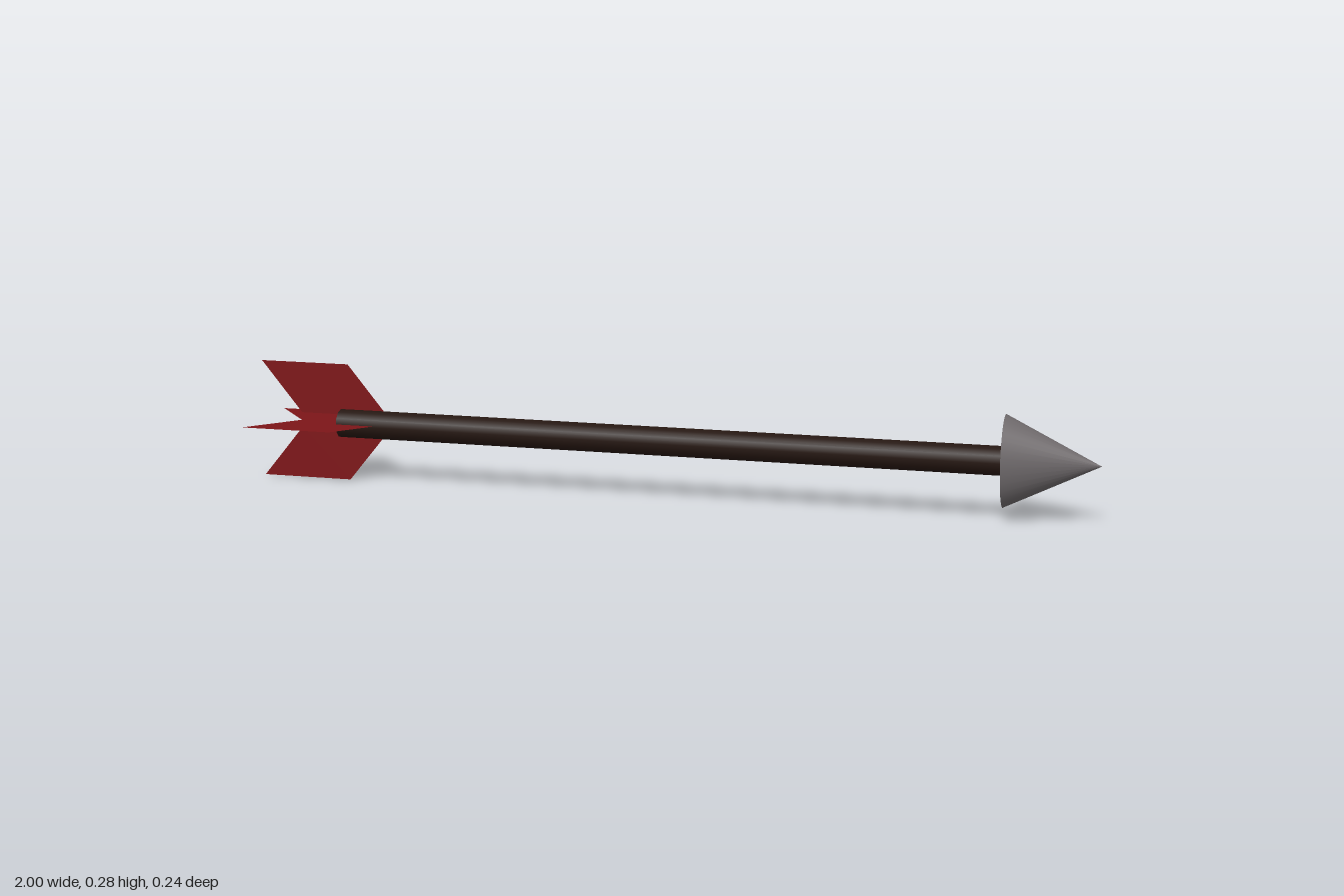
import * as THREE from 'three';

const AXIS_Y = 0.137, AXIS_Z = -0.004;

function part(name, geometry, color, side = THREE.FrontSide) {
  const mesh = new THREE.Mesh(geometry, new THREE.MeshStandardMaterial({ color, side }));
  mesh.name = name;
  return mesh;
}

// Swept-back vane: a thin parallelogram, root edge on y = 0
function vaneGeometry() {
  const shape = new THREE.Shape([
    [-0.9, 0], [-0.68, 0], [-0.78, 0.122], [-1, 0.122],
  ].map(([x, y]) => new THREE.Vector2(x, y)));
  return new THREE.ShapeGeometry(shape);
}

export function createModel() {
  const arrow = new THREE.Group();
  arrow.name = 'arrow';

  // Shaft along x
  const shaftGeo = new THREE.CylinderGeometry(0.034, 0.034, 1.585, 12).rotateZ(-Math.PI / 2);
  const shaft = part('shaft', shaftGeo, 0x24150f);
  shaft.position.set(-0.0075, AXIS_Y, AXIS_Z);
  arrow.add(shaft);

  // Head: cone flattened in z
  const headGeo = new THREE.ConeGeometry(0.106, 0.215, 32).rotateZ(-Math.PI / 2).scale(1, 1, 0.674);
  const head = part('arrowHead', headGeo, 0x6e696b);
  head.position.set(0.8925, AXIS_Y, AXIS_Z);
  arrow.add(head);

  // Four vanes: [name, root y, root z, turn about the shaft]
  const vanes = [
    ['topVane', 0.158, AXIS_Z, 0],
    ['frontVane', 0.14, -0.001, Math.PI / 2],
    ['bottomVane', 0.122, AXIS_Z, Math.PI],
    ['backVane', 0.14, -0.001, -Math.PI / 2],
  ];
  for (const [name, y, z, turn] of vanes) {
    const vane = part(name, vaneGeometry(), 0x7d1518, THREE.DoubleSide);
    vane.rotation.x = turn;
    vane.position.set(0, y, z);
    arrow.add(vane);
  }
  return arrow;
}
